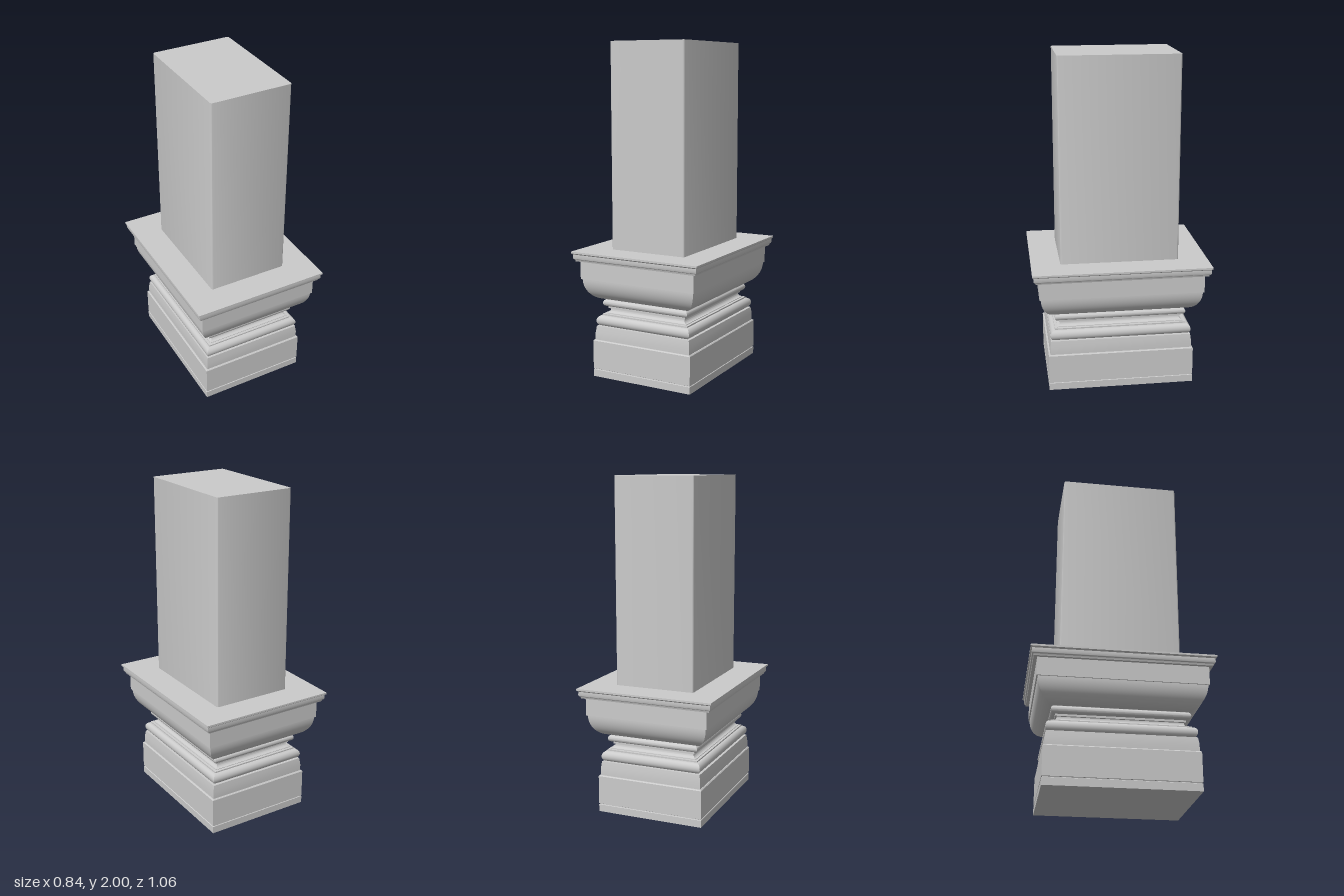
import * as THREE from 'three';
import { toCreasedNormals } from 'three/addons/utils/BufferGeometryUtils.js';

const EXTRA_DEPTH = 0.11; // half depth minus half width, constant for every course
const material = new THREE.MeshStandardMaterial({ color: 0xcccccc });

// Elliptical arc as profile points [halfWidth, y]; angles in degrees
function arc(cx, cy, rx, ry, from, to, steps = 12) {
  return Array.from({ length: steps + 1 }, (_, i) => {
    const a = THREE.MathUtils.degToRad(from + ((to - from) * i) / steps);
    return [cx + rx * Math.cos(a), cy + ry * Math.sin(a)];
  });
}

// Mitred moulding: a bottom-to-top profile swept round a rectangle, capped at both ends
function moulding(name, profile) {
  const pts = [[0, profile[0][1]], ...profile, [0, profile[profile.length - 1][1]]];
  const corners = [[1, 1], [1, -1], [-1, -1], [-1, 1]];
  const positions = [];
  const corner = ([w, y], [sx, sz]) => [sx * w, y, sz * (w + EXTRA_DEPTH)];
  for (let s = 0; s < 4; s++) {
    const c0 = corners[s], c1 = corners[(s + 1) % 4];
    for (let i = 0; i < pts.length - 1; i++) {
      const a = corner(pts[i], c0), b = corner(pts[i], c1);
      const c = corner(pts[i + 1], c1), d = corner(pts[i + 1], c0);
      // Skip the triangles that collapse where a cap meets its centre line
      if (pts[i][0] > 0 || s % 2 === 0) positions.push(...a, ...b, ...c);
      if (pts[i + 1][0] > 0 || s % 2 === 0) positions.push(...a, ...c, ...d);
    }
  }
  const geometry = new THREE.BufferGeometry();
  geometry.setAttribute('position', new THREE.Float32BufferAttribute(positions, 3));
  const mesh = new THREE.Mesh(toCreasedNormals(geometry, 0.5), material);
  mesh.name = name;
  return mesh;
}

// Plain shaft with slightly eased vertical corners
function shaft(w, d, y0, y1, r) {
  const s = new THREE.Shape();
  s.moveTo(-w + r, -d);
  s.lineTo(w - r, -d);
  s.absarc(w - r, -d + r, r, -Math.PI / 2, 0);
  s.absarc(w - r, d - r, r, 0, Math.PI / 2);
  s.absarc(-w + r, d - r, r, Math.PI / 2, Math.PI);
  s.absarc(-w + r, -d + r, r, Math.PI, Math.PI * 1.5);
  const geometry = new THREE.ExtrudeGeometry(s, { depth: y1 - y0, bevelEnabled: false, curveSegments: 5 });
  geometry.rotateX(-Math.PI / 2).translate(0, y0, 0);
  const mesh = new THREE.Mesh(toCreasedNormals(geometry, 0.5), material);
  mesh.name = 'shaft';
  return mesh;
}

export function createModel() {
  const model = new THREE.Group();
  model.name = 'pilasterPedestal';
  model.add(
    // Base courses
    moulding('plinth', [
      [0.33, 0], [0.33, 0.043], [0.326, 0.045], [0.326, 0.049], [0.33, 0.051], [0.33, 0.222], [0.325, 0.228],
    ]),
    moulding('baseBlock', [[0.32, 0.228], [0.32, 0.27], [0.314, 0.312]]),
    // Neck mouldings
    moulding('lowerRoll', [...arc(0.288, 0.344, 0.028, 0.032, -90, 90), [0.288, 0.38]]),
    moulding('neckCove', [
      [0.288, 0.376], [0.288, 0.384], [0.274, 0.386], ...arc(0.274, 0.411, 0.022, 0.022, 270, 180, 8),
      [0.252, 0.415], [0.262, 0.416], [0.262, 0.428],
    ]),
    moulding('upperRoll', [...arc(0.267, 0.451, 0.02, 0.021, -90, 90), [0.267, 0.478]]),
    // Swelling underside and flat band
    moulding('ovolo', [[0.268, 0.475], ...arc(0.268, 0.607, 0.104, 0.132, -78, 0, 18)]),
    moulding('frieze', [[0.38, 0.607], [0.38, 0.717]]),
    // Projecting top slab
    moulding('cornice', [
      [0.4, 0.715], [0.403, 0.726], ...arc(0.403, 0.738, 0.009, 0.012, -80, 0, 5),
      [0.411, 0.757], [0.42, 0.764], [0.42, 0.775],
    ]),
    shaft(0.245, 0.355, 0.77, 2, 0.012),
  );
  return model;
}
